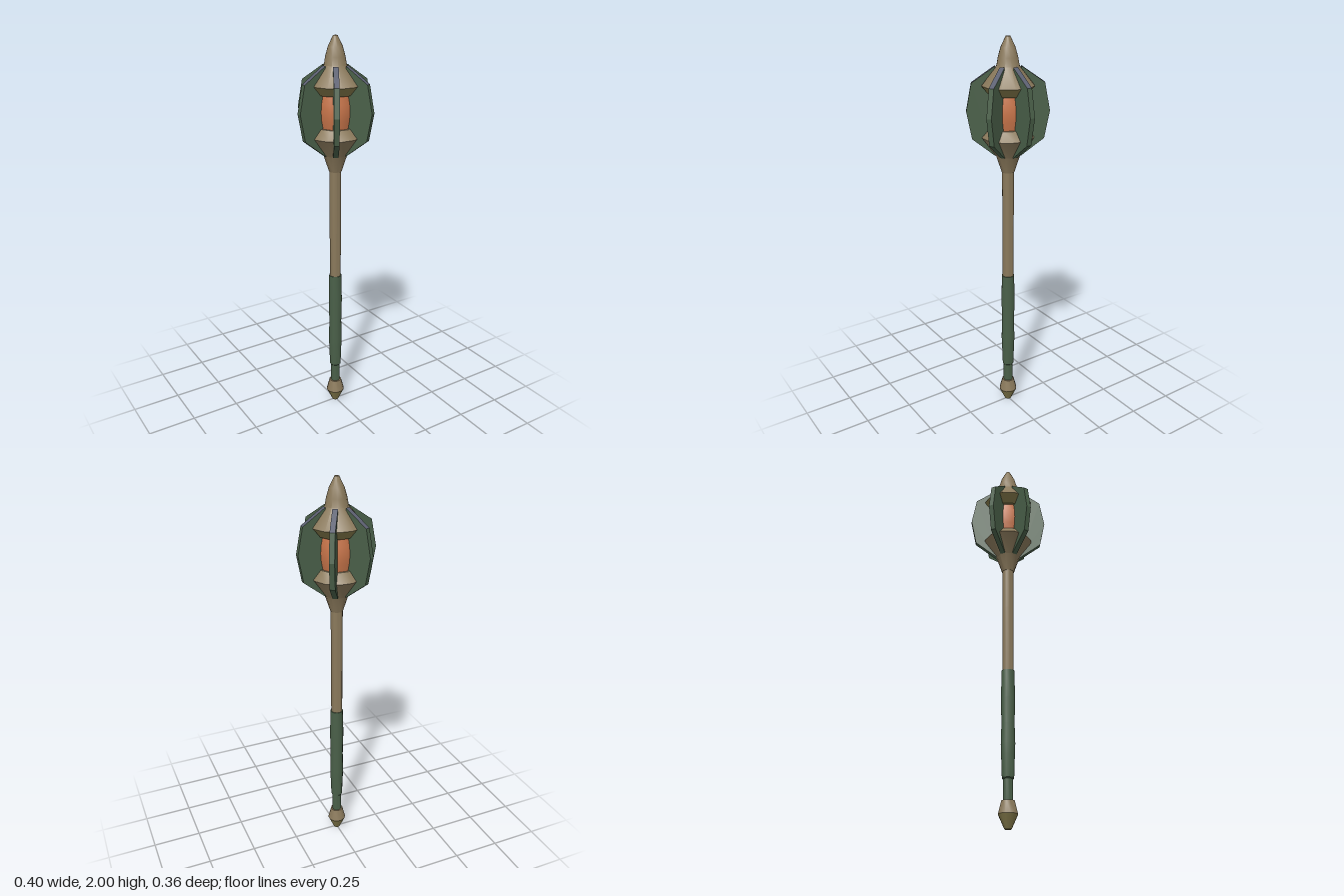
import * as THREE from 'three';
import { toCreasedNormals } from 'three/addons/utils/BufferGeometryUtils.js';

const SIDES = 12;
const TURN = THREE.MathUtils.degToRad(12);

function material(name, color, side = THREE.FrontSide) {
  const m = new THREE.MeshStandardMaterial({ color, side });
  m.name = name;
  return m;
}

// Turned part: profile of [radius, y] listed from bottom to top
function turned(name, profile, mat) {
  const points = profile.map(([r, y]) => new THREE.Vector2(r, y));
  const geo = toCreasedNormals(new THREE.LatheGeometry(points, SIDES, TURN), 0.55);
  const mesh = new THREE.Mesh(geo, mat);
  mesh.name = name;
  return mesh;
}

// Flange plate whose sloping top edge has its own material
function flangeGeometry() {
  const shape = new THREE.Shape([
    [0.062, 1.43], [0.175, 1.517], [0.201, 1.652], [0.175, 1.787], [0.062, 1.865],
  ].map(([r, y]) => new THREE.Vector2(r, y)));
  const depth = 0.026;
  const geo = new THREE.ExtrudeGeometry(shape, { depth, bevelEnabled: false });
  geo.translate(0, 0, -depth / 2);
  geo.clearGroups();
  const normal = geo.attributes.normal;
  for (let i = 0; i < normal.count; i += 3) {
    geo.addGroup(i, 3, normal.getY(i) > 0.5 ? 1 : 0);
  }
  return geo;
}

export function createModel() {
  const bronze = material('bronze', 0x8b7a5c, THREE.DoubleSide);
  const olive = material('olive brass', 0x857b4c, THREE.DoubleSide);
  const green = material('dark green', 0x4a6049);
  const steel = material('blue grey steel', 0x5b5f70);
  const orange = material('orange core', 0xc8754a, THREE.DoubleSide);

  const model = new THREE.Group();
  model.name = 'mace';

  // Pommel and handle
  model.add(
    turned('pommelTip', [[0, 0], [0.017, 0], [0.048, 0.068]], olive),
    turned('pommelCollar', [[0.048, 0.068], [0.032, 0.13], [0, 0.13]], bronze),
    turned('grip', [
      [0.025, 0.125], [0.025, 0.23], [0.03, 0.235], [0.034, 0.35], [0.036, 0.4],
      [0.033, 0.5], [0.036, 0.63], [0.033, 0.775], [0, 0.775],
    ], green),
    turned('shaft', [[0.029, 0.77], [0.03, 1.125], [0.03, 1.35]], bronze),
  );

  // Head: lower cup, glowing barrel, skirt and spike
  model.add(
    turned('lowerCup', [
      [0, 1.345], [0.032, 1.345], [0.06, 1.43], [0.13, 1.525], [0.09, 1.57], [0, 1.57],
    ], bronze),
    turned('core', [[0.078, 1.565], [0.087, 1.61], [0.09, 1.65], [0.087, 1.69], [0.078, 1.735]], orange),
    turned('skirtUnderside', [[0, 1.73], [0.092, 1.73], [0.13, 1.775]], olive),
    turned('skirtAndSpike', [
      [0.13, 1.775], [0.056, 1.865], [0.049, 1.905], [0.036, 1.95], [0.011, 2], [0, 2],
    ], bronze),
  );

  // Six flanges around the head
  const flangeGeo = flangeGeometry();
  const flanges = new THREE.Group();
  flanges.name = 'flanges';
  for (let i = 0; i < 6; i++) {
    const flange = new THREE.Mesh(flangeGeo, [green, steel]);
    flange.name = 'flange' + (i + 1);
    flange.rotation.y = i * Math.PI / 3;
    flanges.add(flange);
  }
  model.add(flanges);
  return model;
}
